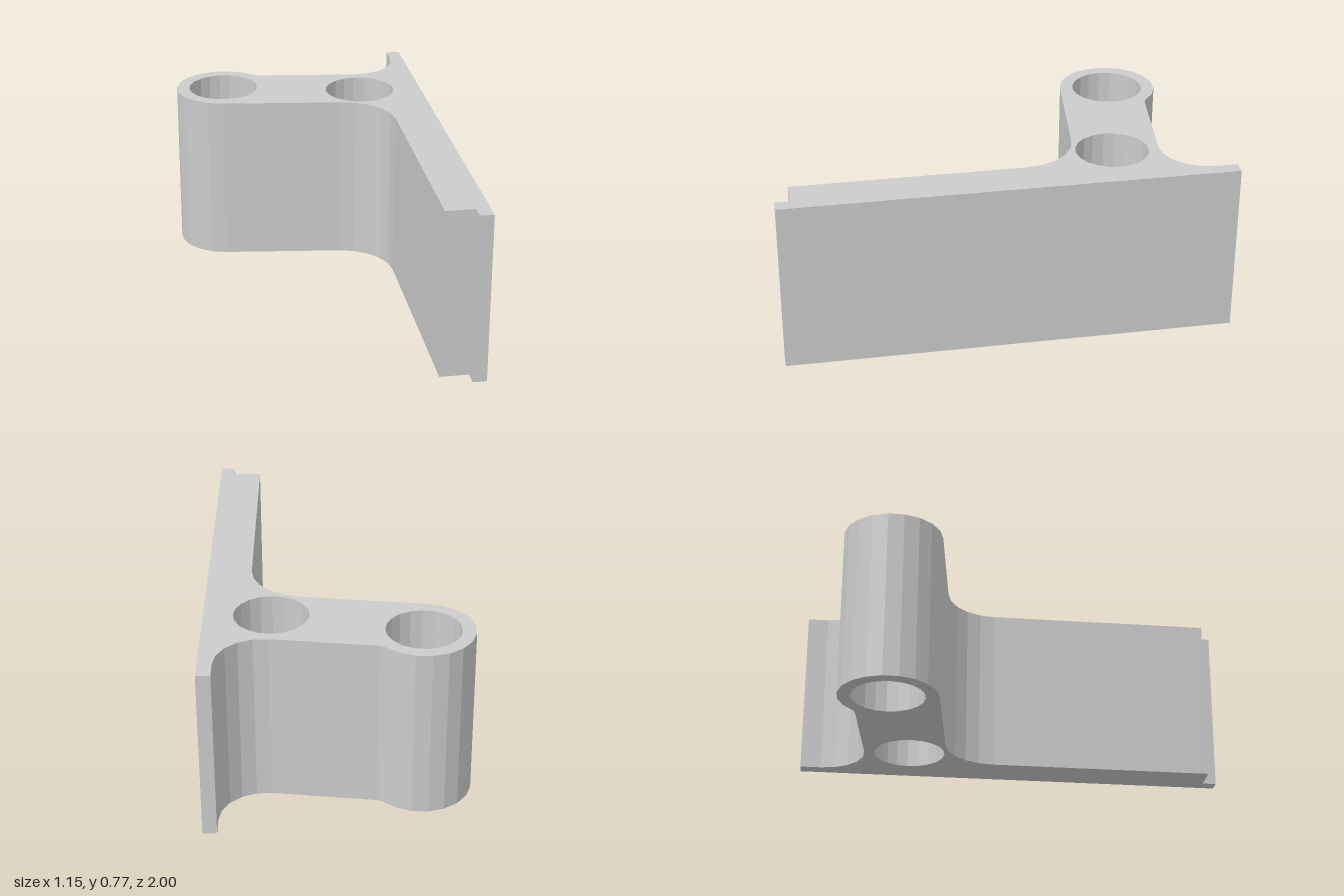
import * as THREE from 'three';

const HEIGHT = 0.775;
const HOLE_R = 0.163;

// Points along an arc in plan (x, z); angles in degrees, z is negated for the shape plane.
function arc(cx, cz, r, from, to, segments) {
  return Array.from({ length: segments + 1 }, (_, i) => {
    const a = THREE.MathUtils.degToRad(from + ((to - from) * i) / segments);
    return new THREE.Vector2(cx + r * Math.cos(a), -(cz + r * Math.sin(a)));
  });
}

const point = (x, z) => new THREE.Vector2(x, -z);

export function createModel() {
  const group = new THREE.Group();
  group.name = 'bracket';

  // Plan outline: stepped plate, filleted arm and round boss
  const outline = new THREE.Shape([
    point(0.577, -1),
    point(0.515, -1),
    ...arc(0.315, -0.905, 0.2, 0, 97, 5),          // rear fillet into the arm
    point(-0.165, -0.762),
    ...arc(-0.357, -0.626, 0.222, -41, -264, 12),  // boss at the arm's end
    ...arc(0.14, -0.096, 0.245, -84, 0, 5),        // front fillet into the plate
    point(0.385, 0.935),
    point(0.515, 0.935),                           // step at the front end
    point(0.515, 1),
    point(0.577, 1),
  ]);

  // Two through holes
  for (const [x, z] of [[-0.357, -0.626], [0.287, -0.497]]) {
    outline.holes.push(new THREE.Path(arc(x, z, HOLE_R, 0, 342, 19)));
  }

  const geometry = new THREE.ExtrudeGeometry(outline, { depth: HEIGHT, bevelEnabled: false });
  geometry.rotateX(-Math.PI / 2);

  const body = new THREE.Mesh(
    geometry,
    new THREE.MeshStandardMaterial({ color: 0xcccccc, flatShading: true })
  );
  body.name = 'plateWithArm';
  group.add(body);
  return group;
}
